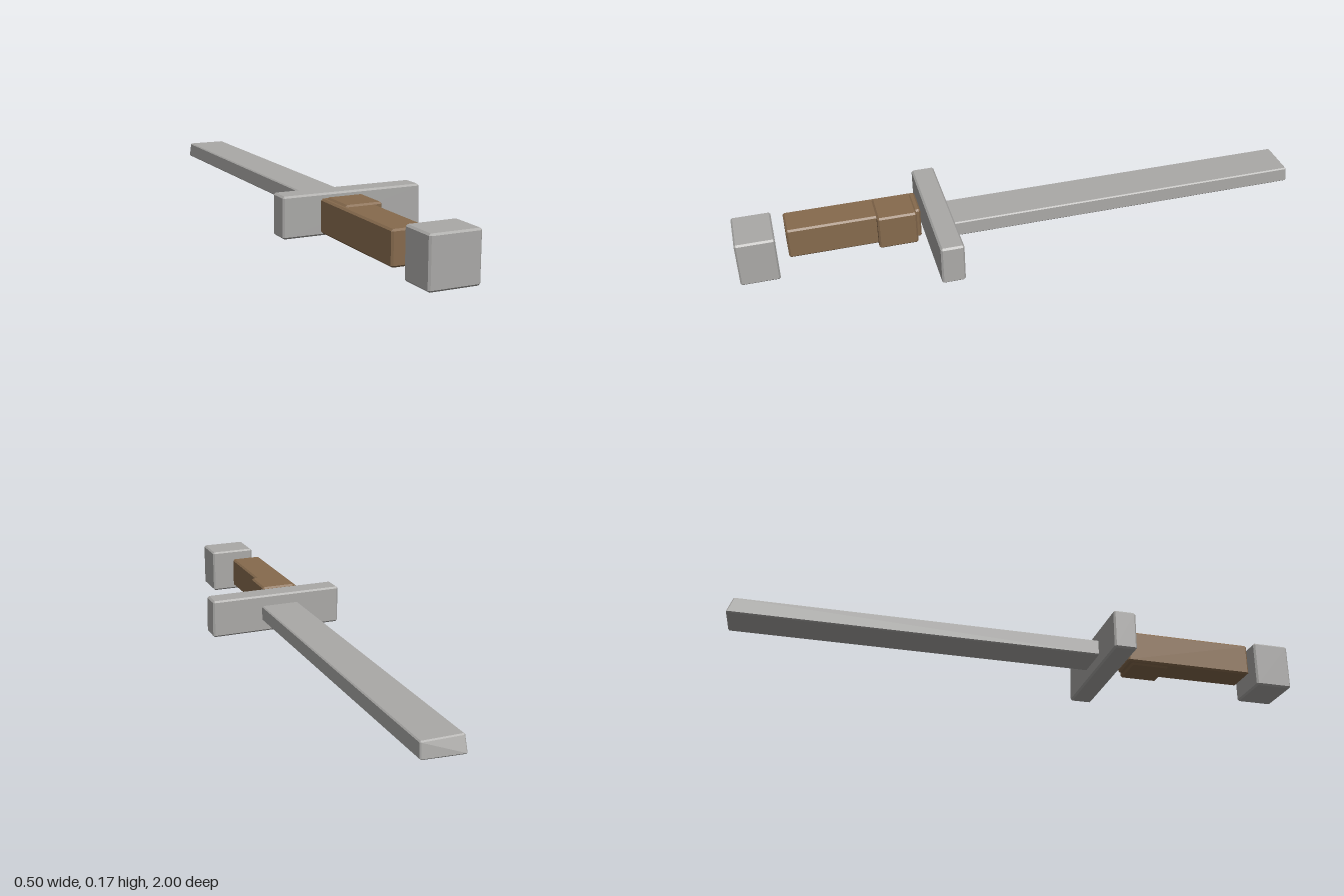
import * as THREE from 'three';
import { ConvexGeometry } from 'three/addons/geometries/ConvexGeometry.js';

const steel = new THREE.MeshStandardMaterial({ color: 0xaaa9a7 });
steel.name = 'steel grey';
const leather = new THREE.MeshStandardMaterial({ color: 0x866a4d });
leather.name = 'leather brown';

// Box with narrow chamfered edges between two corners; warp may nudge its points
function chamferedBox(name, material, min, max, bevel, warp) {
  const lo = new THREE.Vector3(...min);
  const hi = new THREE.Vector3(...max);
  const points = [];
  for (const sx of [0, 1]) for (const sy of [0, 1]) for (const sz of [0, 1]) {
    const side = [sx, sy, sz];
    // three points per corner, one on each adjoining face
    for (let face = 0; face < 3; face++) {
      const p = new THREE.Vector3();
      for (let a = 0; a < 3; a++) {
        const inset = a === face ? 0 : bevel;
        p.setComponent(a, side[a] ? hi.getComponent(a) - inset : lo.getComponent(a) + inset);
      }
      if (warp) warp(p, side);
      points.push(p);
    }
  }
  const mesh = new THREE.Mesh(new ConvexGeometry(points), material);
  mesh.name = name;
  return mesh;
}

export function createModel() {
  const sword = new THREE.Group();
  sword.name = 'sword';

  sword.add(
    // Blade, its blunt tip slanting back toward the top and the left side
    chamferedBox('blade', steel, [-0.085, 0.057, -1], [0.058, 0.113, 0.285], 0.004, (p, [sx, sy, sz]) => {
      if (!sz) p.z += sy ? 0.018 : sx * 0.012;
    }),
    // Guard, very slightly wider at its lower left corner
    chamferedBox('guard', steel, [-0.25, 0.014, 0.275], [0.249, 0.153, 0.355], 0.006, (p, [sx, sy]) => {
      if (sx && sy) p.x -= 0.003;
    }),
    // Handle with a thicker wrap near the guard
    chamferedBox('grip', leather, [-0.128, 0.028, 0.37], [-0.013, 0.141, 0.828], 0.006),
    chamferedBox('gripCollar', leather, [-0.115, 0.022, 0.387], [0.012, 0.147, 0.523], 0.006),
    // Pommel block
    chamferedBox('pommel', steel, [-0.111, 0, 0.867], [0.059, 0.165, 1], 0.006),
  );
  return sword;
}
